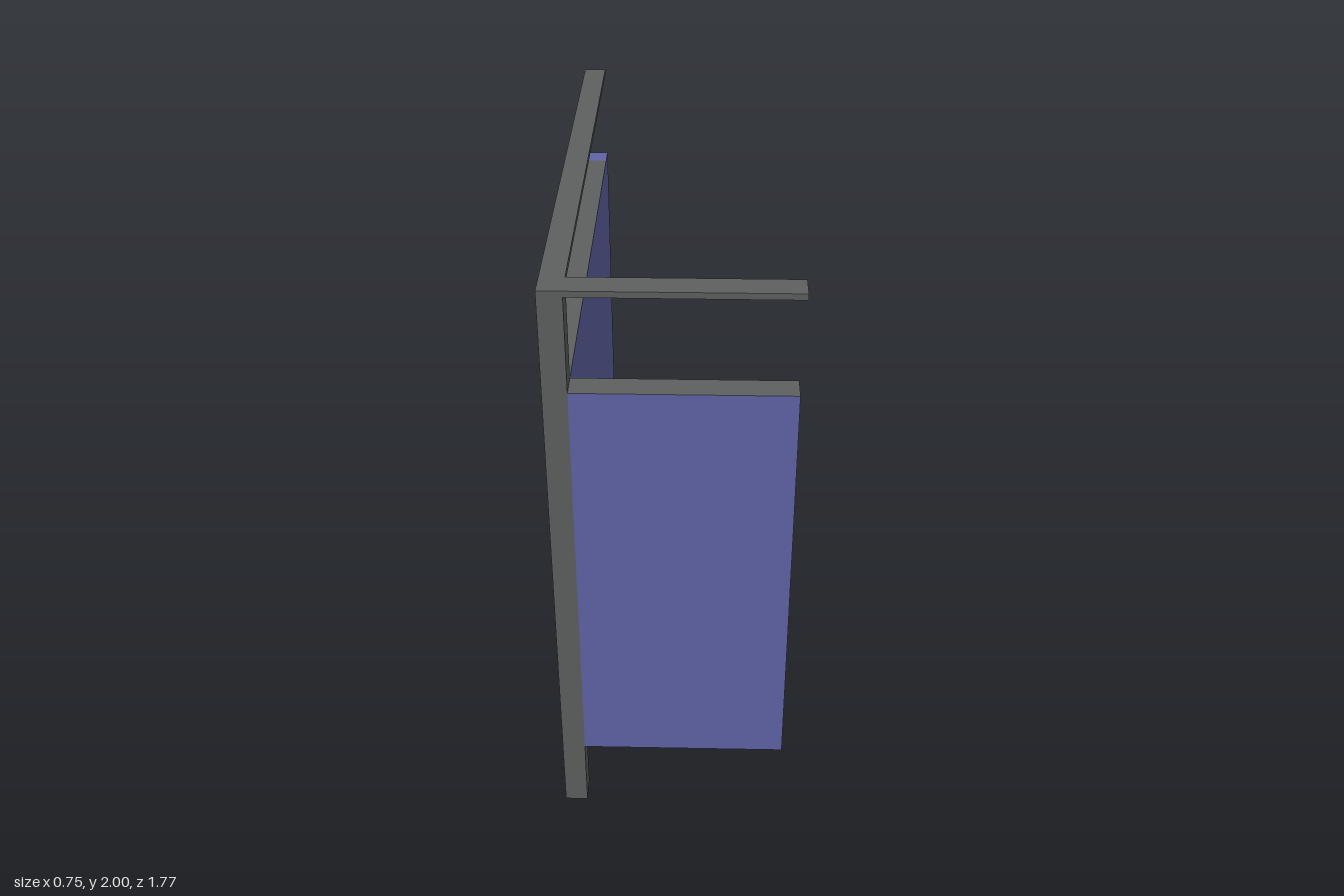
import * as THREE from 'three';

export function createModel() {
  const group = new THREE.Group();
  const grey = new THREE.MeshStandardMaterial({ color: 0x5e6161 });
  grey.name = 'frame grey';
  const blue = new THREE.MeshStandardMaterial({ color: 0x6164a7 });
  blue.name = 'panel blue';

  // Box from its minimum and maximum corners
  function box(name, min, max, material) {
    const size = max.map((v, i) => v - min[i]);
    const mesh = new THREE.Mesh(new THREE.BoxGeometry(...size), material);
    mesh.position.set(...max.map((v, i) => (v + min[i]) / 2));
    mesh.name = name;
    group.add(mesh);
  }

  const xOut = -0.375, xIn = -0.3, zOut = 0.885, zIn = 0.8;
  const low = 0.255, high = 1.67, railY = 1.98;

  // Corner post and the two head rails
  box('cornerPost', [xOut, 0, zIn], [xIn, 2, zOut], grey);
  box('sideRail', [xOut, railY, -zOut], [xIn, 2, zIn], grey);
  box('frontRail', [xIn, railY, zIn], [0.375, 2, zOut], grey);

  // Side wall with a grey top edge, ending in an all-blue stile
  // Face order: +x, -x, +y, -y, +z, -z
  box('sidePanel', [xOut, low, -0.8], [xIn, high, zIn], [blue, blue, grey, blue, blue, blue]);
  box('sidePanelEnd', [xOut, low, -0.88], [xIn, high, -0.8], blue);

  // Door with grey top and free edges
  box('doorPanel', [xIn, low, zIn], [0.367, high, zOut], [grey, blue, grey, blue, blue, blue]);

  // Blue lining where the post faces the inside corner, under the panels
  box('cornerUnderside', [xOut, low, zIn - 0.001], [xIn, low + 0.01, zIn], blue);

  // Round latch on the inside of the door
  const latch = new THREE.Group();
  latch.name = 'latch';
  const profile = [[0, 0], [0.047, 0], [0.047, 0.01], [0.042, 0.013], [0.026, 0.013], [0.024, 0.019], [0, 0.019]]
    .map(([r, h]) => new THREE.Vector2(r, h));
  const geometry = new THREE.LatheGeometry(profile, 16).toNonIndexed();
  geometry.computeVertexNormals();
  const knob = new THREE.Mesh(geometry, grey);
  knob.name = 'latchKnob';
  knob.rotation.x = -Math.PI / 2;
  latch.add(knob);
  latch.position.set(0.232, 0.998, zIn);
  group.add(latch);

  return group;
}
